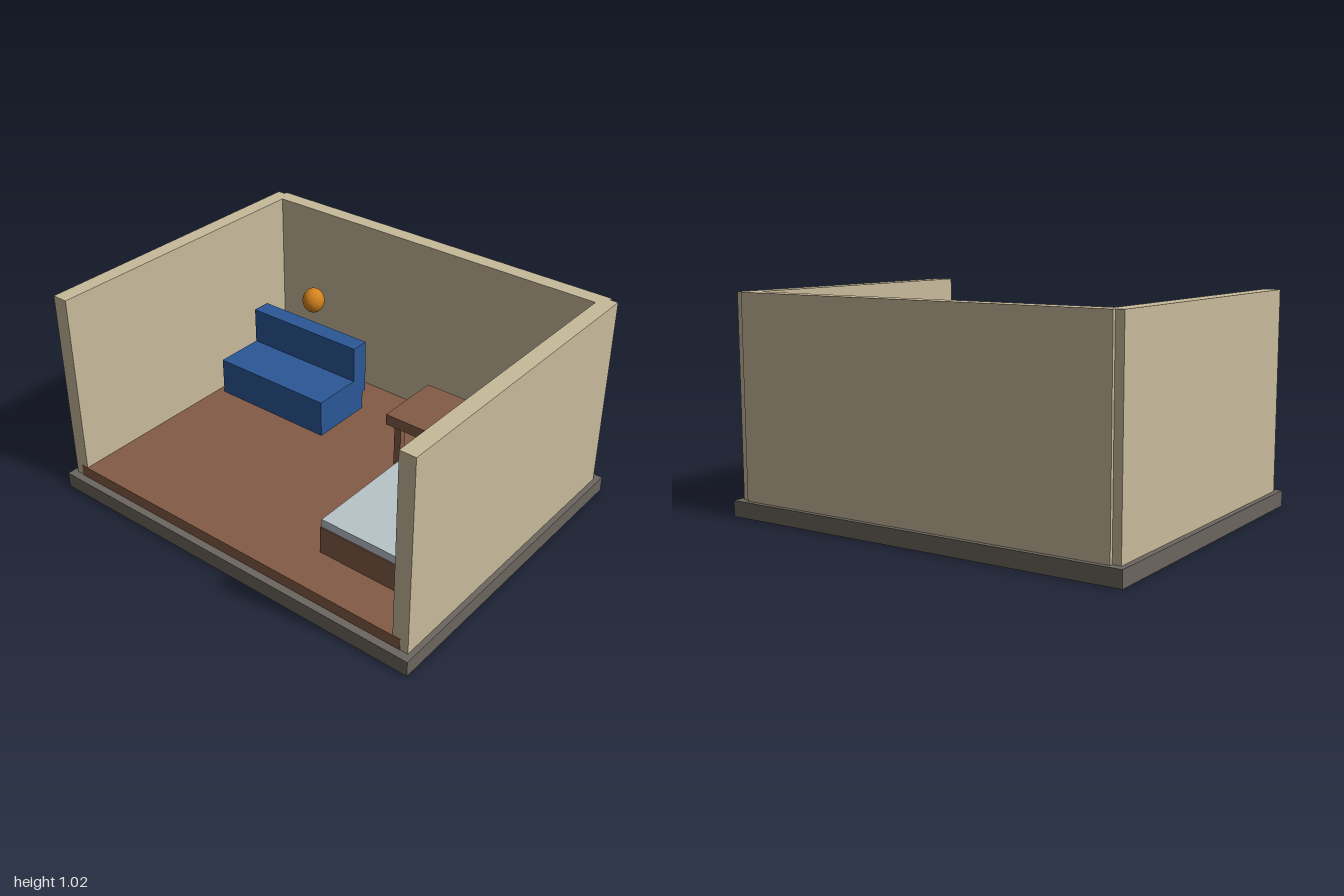
import * as THREE from 'three';

const mat = (name, color) => {
  const m = new THREE.MeshStandardMaterial({ color });
  m.name = name;
  return m;
};

export function createModel() {
  const stone = mat('stone grey', 0x6b665e);
  const plaster = mat('plaster beige', 0xc8ba9b);
  const wood = mat('wood brown', 0x835b45);
  const fabric = mat('sofa blue', 0x2b5797);
  const linen = mat('linen pale blue', 0xb8c4c9);
  const amber = mat('lamp orange', 0xd4821f);

  const room = new THREE.Group();
  room.name = 'room';

  const group = (name) => {
    const g = new THREE.Group();
    g.name = name;
    room.add(g);
    return g;
  };

  // Box given by its extents along each axis
  const box = (parent, name, material, [x0, x1], [y0, y1], [z0, z1]) => {
    const mesh = new THREE.Mesh(new THREE.BoxGeometry(x1 - x0, y1 - y0, z1 - z0), material);
    mesh.position.set((x0 + x1) / 2, (y0 + y1) / 2, (z0 + z1) / 2);
    mesh.name = name;
    parent.add(mesh);
  };

  // Foundation and floor
  box(room, 'foundation', stone, [-1, 1], [0, 0.075], [-0.786, 0.786]);
  box(room, 'floor', wood, [-0.935, 0.935], [0.075, 0.131], [-0.749, 0.749]);

  // Three walls, open at the front
  const walls = group('walls');
  box(walls, 'backWall', plaster, [-0.935, 0.935], [0.075, 1.02], [-0.763, -0.686]);
  box(walls, 'leftWall', plaster, [0.897, 0.974], [0.075, 1.02], [-0.747, 0.747]);
  box(walls, 'rightWall', plaster, [-0.974, -0.897], [0.075, 1.02], [-0.747, 0.747]);

  // Sofa
  const sofa = group('sofa');
  box(sofa, 'sofaSeat', fabric, [-0.862, -0.21], [0.131, 0.32], [-0.483, -0.156]);
  box(sofa, 'sofaBack', fabric, [-0.862, -0.21], [0.225, 0.505], [-0.505, -0.412]);

  // Table with four legs
  const table = group('table');
  box(table, 'tableTop', wood, [0.175, 0.675], [0.355, 0.41], [-0.5, -0.164]);
  for (const x of [0.223, 0.62]) {
    for (const z of [-0.455, -0.209]) {
      box(table, 'tableLeg', wood, [x - 0.018, x + 0.018], [0.131, 0.355], [z - 0.018, z + 0.018]);
    }
  }

  // Bed
  const bed = group('bed');
  box(bed, 'bedFrame', wood, [0.352, 0.829], [0.131, 0.268], [-0.075, 0.534]);
  box(bed, 'mattress', linen, [0.357, 0.82], [0.268, 0.308], [-0.07, 0.529]);

  // Floating lantern
  const lantern = new THREE.Mesh(new THREE.SphereGeometry(0.052, 32, 20), amber);
  lantern.name = 'lantern';
  lantern.scale.y = 1.17;
  lantern.position.set(-0.355, 0.783, -0.28);
  room.add(lantern);

  return room;
}
